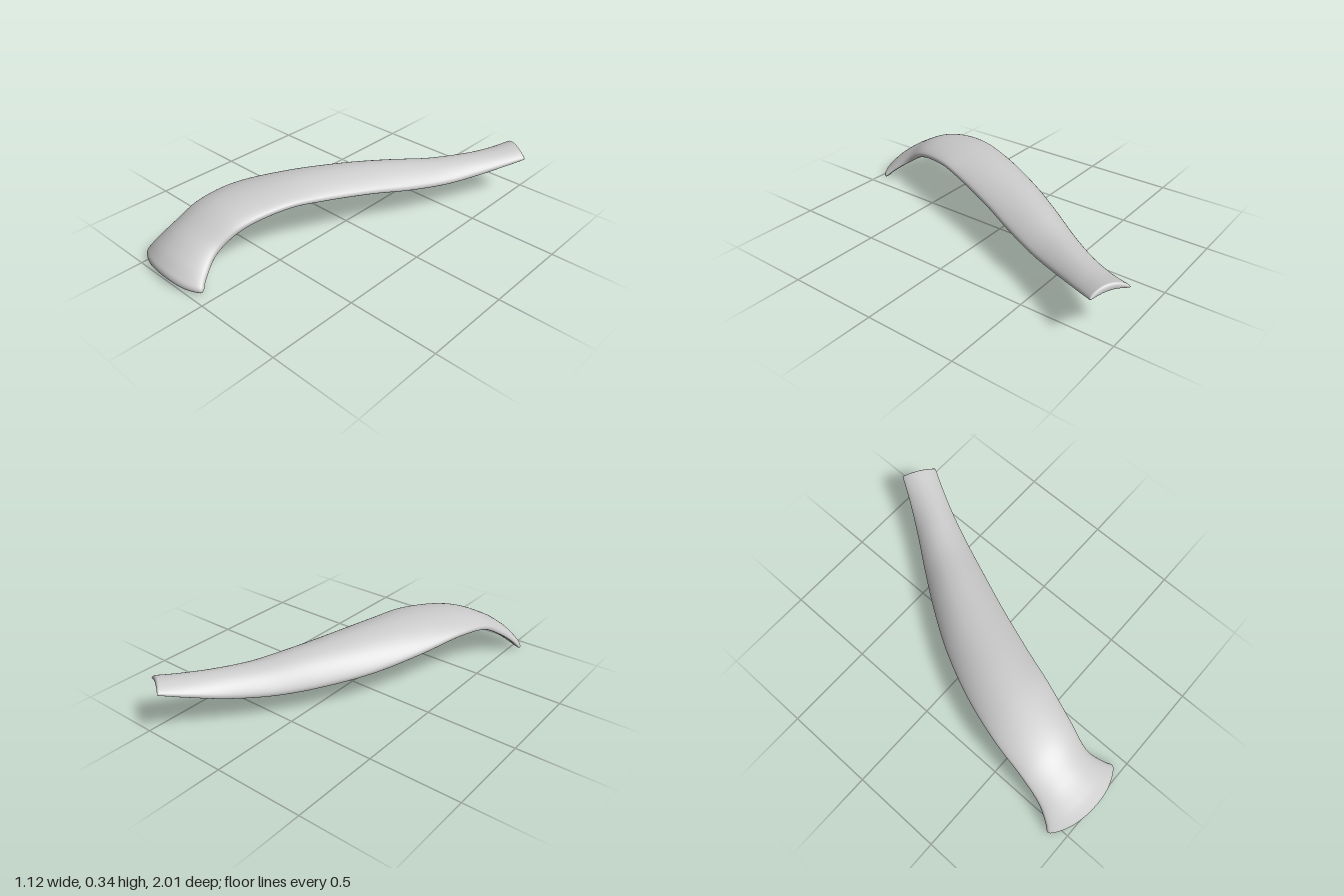
import * as THREE from 'three';

// Stations from the flared front foot to the narrow back tip:
// left edge (x, y, z), right edge (x, y, z), arch height, edge half thickness,
// and how much of the arch the underside follows (1 hollow, 0 flat)
const STATIONS = [
  [-0.565, 0.002, 0.92, -0.053, 0.012, 0.955, 0.065, 0.03, 1],
  [-0.53, 0.065, 0.87, -0.09, 0.07, 0.895, 0.055, 0.03, 1],
  [-0.49, 0.14, 0.78, -0.12, 0.15, 0.79, 0.042, 0.032, 0.9],
  [-0.46, 0.222, 0.63, -0.08, 0.238, 0.64, 0.034, 0.03, 0.7],
  [-0.42, 0.25, 0.42, -0.005, 0.28, 0.42, 0.036, 0.028, 0.4],
  [-0.34, 0.222, 0.17, 0.06, 0.268, 0.23, 0.062, 0.028, 0.2],
  [-0.22, 0.182, -0.09, 0.16, 0.238, -0.03, 0.078, 0.028, 0.1],
  [-0.08, 0.158, -0.32, 0.255, 0.205, -0.25, 0.082, 0.028, 0],
  [0.06, 0.15, -0.52, 0.345, 0.188, -0.46, 0.07, 0.026, 0],
  [0.20, 0.17, -0.71, 0.425, 0.198, -0.64, 0.054, 0.025, 0.2],
  [0.31, 0.212, -0.87, 0.50, 0.219, -0.79, 0.036, 0.021, 0.5],
  [0.39, 0.255, -1.0, 0.56, 0.24, -0.9, 0.028, 0.015, 0.9],
];

const curveOf = (pick) => new THREE.CatmullRomCurve3(
  STATIONS.map((s) => new THREE.Vector3(...pick(s))), false, 'catmullrom');

const signedPow = (v, p) => Math.sign(v) * Math.pow(Math.abs(v), p);

// Rounds the thickness off to nothing within distance r of an end
const roundOff = (d, r) => Math.sqrt(Math.max(0, 1 - (1 - Math.min(d / r, 1)) ** 2));

function archedStripGeometry(rings = 150, sides = 64) {
  const left = curveOf((s) => s.slice(0, 3));
  const right = curveOf((s) => s.slice(3, 6));
  const shape = curveOf((s) => s.slice(6, 9));
  const middle = (v) => left.getPoint(v).add(right.getPoint(v)).multiplyScalar(0.5);
  const positions = [];
  const index = [];

  for (let i = 0; i <= rings; i++) {
    // rings are closer together near the two ends
    const v = (1 - Math.cos((Math.PI * i) / rings)) / 2;
    const centre = middle(v);
    const half = right.getPoint(v).sub(left.getPoint(v)).multiplyScalar(0.5);
    const tangent = middle(Math.min(v + 0.01, 1)).sub(middle(Math.max(v - 0.01, 0))).normalize();
    const normal = half.clone().cross(tangent).normalize();
    const { x: arch, y: thick, z: hollow } = shape.getPoint(v);
    const t = thick * roundOff(v, 0.03) * roundOff(1 - v, 0.006);
    // the foot's front edge bows forward between its rounded corners
    const bow = -0.03 * Math.max(0, 1 - v / 0.09) ** 2;
    half.multiplyScalar(0.92 + 0.08 * roundOff(v, 0.035));
    // the end rings close to a single line
    const endClose = roundOff(v, 0.03) * roundOff(1 - v, 0.006);

    // domed top, flatter underside, rounded edges
    for (let j = 0; j < sides; j++) {
      const a = (2 * Math.PI * j) / sides;
      const u = signedPow(Math.cos(a), 0.85);
      const follow = Math.sin(a) < 0 ? 1 - (1 - hollow) * endClose : 1;
      const lift = arch * follow * (1 - u * u) + t * signedPow(Math.sin(a), 0.65);
      const p = centre.clone()
        .addScaledVector(half, u)
        .addScaledVector(normal, lift)
        .addScaledVector(tangent, bow * (1 - u ** 4));
      positions.push(p.x, p.y, p.z);
      if (i < rings) {
        const k = (j + 1) % sides;
        const p0 = i * sides + j, p1 = i * sides + k;
        index.push(p0, p0 + sides, p1, p1, p0 + sides, p1 + sides);
      }
    }
  }

  const geometry = new THREE.BufferGeometry();
  geometry.setAttribute('position', new THREE.Float32BufferAttribute(positions, 3));
  geometry.setIndex(index);
  geometry.computeVertexNormals();
  return geometry;
}

export function createModel() {
  const group = new THREE.Group();
  group.name = 'curvedStrip';
  const material = new THREE.MeshStandardMaterial({ color: 0xcccccc, side: THREE.DoubleSide });
  const strip = new THREE.Mesh(archedStripGeometry(), material);
  strip.name = 'archedStrip';
  group.add(strip);
  return group;
}
